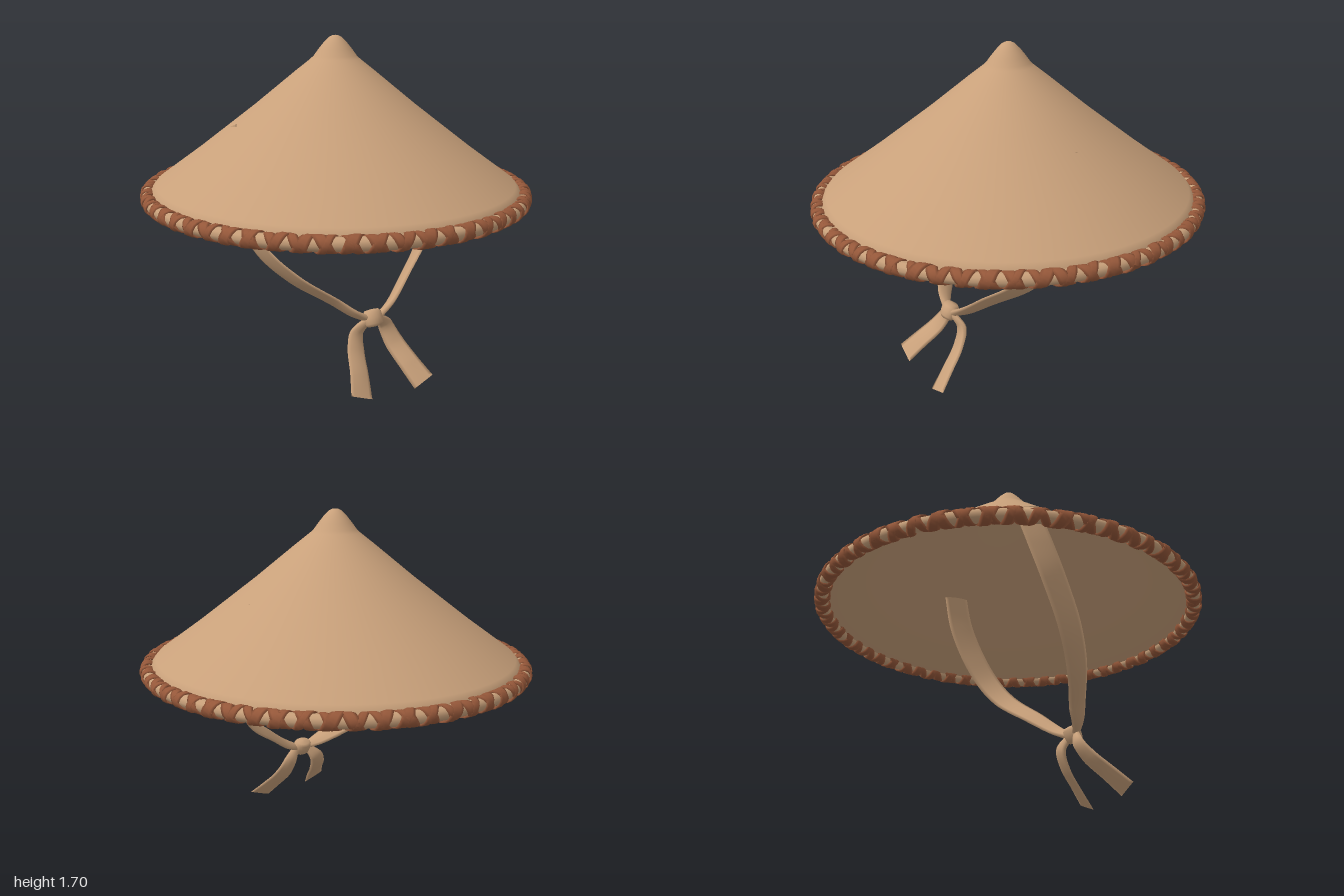
import * as THREE from 'three';

const V = (x, y, z) => new THREE.Vector3(x, y, z);

// Sweep a flat lens-shaped section along path(t). side(t) hints the width direction,
// width(t) and thick(t) are half sizes.
function sweep(rings, path, side, width, thick, sides = 8) {
  const pos = [], idx = [];
  for (let i = 0; i <= rings; i++) {
    const t = i / rings, e = 0.5 / rings;
    const p = path(t);
    const tan = path(Math.min(1, t + e)).sub(path(Math.max(0, t - e))).normalize();
    const w = side(t);
    w.addScaledVector(tan, -w.dot(tan)).normalize();
    const h = tan.clone().cross(w);
    for (let j = 0; j < sides; j++) {
      const a = (j / sides) * Math.PI * 2;
      const q = p.clone().addScaledVector(w, Math.cos(a) * width(t)).addScaledVector(h, Math.sin(a) * thick(t));
      pos.push(q.x, q.y, q.z);
      if (i < rings) {
        const k = (j + 1) % sides, r0 = i * sides, r1 = r0 + sides;
        idx.push(r0 + j, r0 + k, r1 + j, r0 + k, r1 + k, r1 + j);
      }
    }
  }
  const g = new THREE.BufferGeometry();
  g.setAttribute('position', new THREE.Float32BufferAttribute(pos, 3));
  g.setIndex(idx);
  g.computeVertexNormals();
  return g;
}

// Linear lookup in a short list of evenly spaced values
function ramp(list) {
  return t => {
    const f = t * (list.length - 1), i = Math.min(list.length - 2, Math.floor(f));
    return THREE.MathUtils.lerp(list[i], list[i + 1], f - i);
  };
}

export function createModel() {
  const straw = new THREE.MeshStandardMaterial({ color: 0xc8a07a, side: THREE.DoubleSide });
  straw.name = 'tan cloth';
  const cord = new THREE.MeshStandardMaterial({ color: 0x96583a, side: THREE.DoubleSide });
  cord.name = 'brown cord';

  const model = new THREE.Group();
  model.name = 'conicalHat';
  const add = (parent, name, geometry, material) => {
    const mesh = new THREE.Mesh(geometry, material);
    mesh.name = name;
    parent.add(mesh);
    return mesh;
  };

  // Hat body, very slightly narrower across than front to back
  const hat = new THREE.Group();
  hat.name = 'hat';
  hat.scale.x = 0.983;
  model.add(hat);

  // Thin cone: inner face from the top down, then outer face up to a rounded cap
  const profile = [
    [0, 1.655], [0.05, 1.635], [0.13, 1.565], [0.41, 1.335], [0.7, 1.115], [0.935, 0.93],
    [0.95, 0.95], [0.915, 0.99], [0.7, 1.143], [0.41, 1.362], [0.2, 1.53], [0.125, 1.588],
    [0.108, 1.604], [0.085, 1.635], [0.058, 1.668], [0.032, 1.694], [0.015, 1.702], [0, 1.704],
  ].map(([r, y]) => new THREE.Vector2(r, y));
  add(hat, 'cone', new THREE.LatheGeometry(profile, 96), straw);

  // Rim core
  const R = 0.957, rimY = 0.935;
  const core = new THREE.TorusGeometry(R, 0.031, 10, 96);
  core.rotateX(Math.PI / 2);
  add(hat, 'rimCore', core, straw).position.y = rimY;

  // Two crossing cords wound around the rim
  const turns = 58;
  for (const dir of [1, -1]) {
    const path = t => {
      const a = t * Math.PI * 2, b = dir * a * turns + 0.6 * Math.sin(a * 13);
      const r = 0.0335 + (dir > 0 ? 0 : 0.002) + 0.0015 * Math.sin(a * 41);
      const d = R + r * Math.cos(b);
      return V(d * Math.cos(a), rimY + r * Math.sin(b), d * Math.sin(a));
    };
    const along = t => V(-Math.sin(t * Math.PI * 2), 0, Math.cos(t * Math.PI * 2));
    const width = t => 0.024 + 0.005 * Math.sin(t * Math.PI * 2 * 23 + dir);
    add(hat, dir > 0 ? 'rimWrap' : 'rimCrossWrap',
      sweep(turns * 14, path, along, width, () => 0.006, 6), cord);
  }

  // Chin straps from inside the cone to the knot, and the loose tails below it
  const straps = {
    left: [[0.5, 1.27, -0.1], [0.52, 1.08, -0.05], [0.518, 0.9, 0.03], [0.49, 0.74, 0.12],
      [0.42, 0.625, 0.19], [0.25, 0.49, 0.28], [0.12, 0.39, 0.34], [0.03, 0.34, 0.365]],
    right: [[-0.5, 1.27, -0.16], [-0.525, 1.08, -0.1], [-0.528, 0.9, -0.03], [-0.475, 0.7, 0.08],
      [-0.35, 0.555, 0.19], [-0.18, 0.435, 0.29], [-0.1, 0.375, 0.34], [-0.03, 0.34, 0.365]],
  };
  const tails = {
    left: [[0.035, 0.335, 0.365], [0.085, 0.275, 0.345], [0.115, 0.19, 0.385], [0.15, 0.1, 0.47], [0.183, 0.021, 0.55]],
    right: [[-0.035, 0.335, 0.365], [-0.085, 0.27, 0.345], [-0.115, 0.2, 0.385], [-0.15, 0.12, 0.47], [-0.187, 0.04, 0.55]],
  };
  const curveOf = pts => {
    const c = new THREE.CatmullRomCurve3(pts.map(p => V(...p)));
    return t => c.getPoint(t);
  };
  for (const side of ['left', 'right']) {
    const s = side === 'left' ? 1 : -1;
    add(model, side + 'Strap', sweep(60, curveOf(straps[side]), () => V(0, 0.5, 0.87),
      ramp([0.07, 0.072, 0.072, 0.07, 0.066, 0.056, 0.042, 0.022]),
      ramp([0.001, 0.007, 0.007, 0.007, 0.008, 0.01, 0.014, 0.018])), straw);
    add(model, side + 'Tail', sweep(32, curveOf(tails[side]), () => V(1, 0.32 * s, 0),
      ramp([0.02, 0.042, 0.052, 0.056, 0.062]),
      ramp([0.018, 0.018, 0.012, 0.009, 0.002])), straw);
  }

  // Knot: a rounded barrel around the crossing
  const knotProfile = [[0, -0.048], [0.034, -0.045], [0.046, -0.03], [0.049, 0], [0.046, 0.03], [0.034, 0.045], [0, 0.048]]
    .map(([r, y]) => new THREE.Vector2(r, y));
  const knot = add(model, 'knot', new THREE.LatheGeometry(knotProfile, 20), straw);
  knot.position.set(-0.003, 0.34, 0.365);
  knot.rotation.x = -0.45;
  knot.scale.set(1.08, 0.92, 0.85);

  return model;
}
